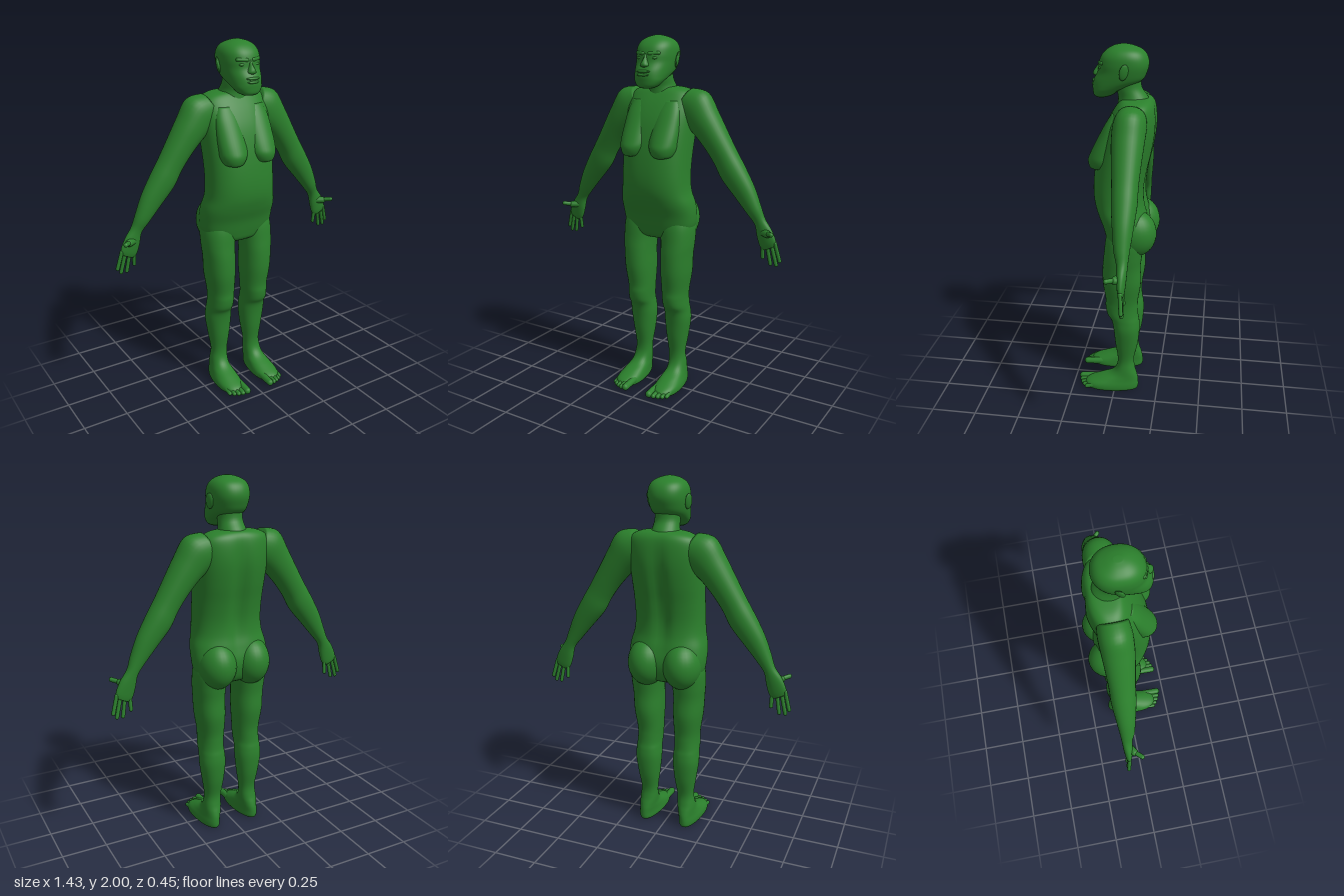
import * as THREE from 'three';

const skin = new THREE.MeshStandardMaterial({ color: 0x2b802c });
skin.name = 'green skin';

// Smooth interpolation between four neighbouring values
function spline(a, b, c, d, t) {
  return b + 0.5 * t * (c - a + t * (2 * a - 5 * b + 4 * c - d + t * (3 * (b - c) + d - a)));
}

// Body part from cross-sections, listed upwards: [y, x, halfWidth, zFront, zBack, tilt]
function loft(name, rows, { side = 1, power = 2, seg = 32, steps = 5, deform } = {}) {
  const rings = [];
  const at = (i, k) => rows[Math.min(rows.length - 1, Math.max(0, i))][k] ?? 0;
  for (let i = 0; i < rows.length - 1; i++) {
    for (let s = 0; s < steps; s++) {
      rings.push([0, 1, 2, 3, 4, 5].map(k =>
        spline(at(i - 1, k), at(i, k), at(i + 1, k), at(i + 2, k), s / steps)));
    }
  }
  rings.push([0, 1, 2, 3, 4, 5].map(k => at(rows.length - 1, k)));

  const pos = [], index = [], p = new THREE.Vector3();
  const bend = v => Math.sign(v) * Math.abs(v) ** (2 / power);
  const push = (y, x, z, ring) => {
    p.set(x, y, z);
    if (deform) deform(p, ring);
    pos.push(p.x * side, p.y, p.z);
  };
  for (const r of rings) {
    const [y, x, w, zf, zb, tilt] = r;
    for (let j = 0; j < seg; j++) {
      // mirrored parts run the angle the other way, so the winding stays outward
      const t = (j / seg) * Math.PI * 2;
      const u = w * bend(Math.cos(t)) * side;
      push(y + u * Math.sin(tilt), x + u * Math.cos(tilt),
        (zf + zb) / 2 + (zf - zb) / 2 * bend(Math.sin(t)), r);
    }
  }
  for (let i = 0; i < rings.length - 1; i++) {
    for (let j = 0; j < seg; j++) {
      const a = i * seg + j, b = i * seg + (j + 1) % seg;
      index.push(a, a + seg, b, b, a + seg, b + seg);
    }
  }
  // end caps
  const low = pos.length / 3, last = (rings.length - 1) * seg;
  for (const r of [rings[0], rings[rings.length - 1]]) push(r[0], r[1], (r[3] + r[4]) / 2, r);
  for (let j = 0; j < seg; j++) {
    const k = (j + 1) % seg;
    index.push(low, j, k, low + 1, last + k, last + j);
  }
  const geo = new THREE.BufferGeometry();
  geo.setAttribute('position', new THREE.Float32BufferAttribute(pos, 3));
  geo.setIndex(index);
  geo.computeVertexNormals();
  return named(name, geo);
}

function named(name, geo) {
  const mesh = new THREE.Mesh(geo, skin);
  mesh.name = name;
  return mesh;
}

// Rounded rod between two points
function rod(name, a, b, radius) {
  const from = new THREE.Vector3(...a), to = new THREE.Vector3(...b);
  const dir = to.clone().sub(from);
  const mesh = named(name, new THREE.CapsuleGeometry(radius, dir.length(), 5, 12));
  mesh.position.copy(from).add(to).multiplyScalar(0.5);
  mesh.quaternion.setFromUnitVectors(new THREE.Vector3(0, 1, 0), dir.normalize());
  return mesh;
}

function ellipsoid(name, center, radii) {
  const mesh = named(name, new THREE.SphereGeometry(1, 28, 20).scale(...radii));
  mesh.position.set(...center);
  return mesh;
}

export function createModel() {
  const model = new THREE.Group();
  model.name = 'standing figure';

  // Torso, with a groove along the spine
  model.add(loft('torso', [
    [0.895, 0, 0.1, 0.02, -0.12], [0.915, 0, 0.165, 0.045, -0.15], [0.96, 0, 0.208, 0.06, -0.17],
    [1.03, 0, 0.22, 0.078, -0.18], [1.1, 0, 0.217, 0.105, -0.17], [1.17, 0, 0.2, 0.125, -0.155],
    [1.25, 0, 0.194, 0.13, -0.153], [1.35, 0, 0.194, 0.122, -0.168], [1.45, 0, 0.197, 0.105, -0.19],
    [1.55, 0, 0.2, 0.078, -0.205], [1.63, 0, 0.2, 0.042, -0.205], [1.69, 0, 0.185, 0.005, -0.195],
    [1.72, 0, 0.14, -0.02, -0.175], [1.73, 0, 0.07, -0.04, -0.15],
  ], {
    power: 2.4, seg: 64,
    deform: (p, r) => {
      if (p.z < (r[3] + r[4]) / 2 && p.y > 1) {
        p.z += 0.025 * Math.exp(-((p.x / 0.04) ** 2)) * Math.sin(Math.PI * Math.min(1, (p.y - 1) / 0.73));
      }
    },
  }));

  // Neck and head
  model.add(loft('neck', [
    [1.67, 0, 0.1, 0.005, -0.185], [1.73, 0, 0.074, 0.0, -0.158],
    [1.78, 0, 0.067, 0.01, -0.124], [1.84, 0, 0.067, 0.0, -0.12],
  ]));
  model.add(loft('head', [
    [1.728, 0, 0.035, 0.115, 0.06], [1.74, 0, 0.058, 0.128, 0.025], [1.765, 0, 0.077, 0.132, -0.01],
    [1.79, 0, 0.087, 0.133, -0.07], [1.82, 0, 0.095, 0.127, -0.128], [1.86, 0, 0.102, 0.106, -0.15],
    [1.9, 0, 0.106, 0.1, -0.16], [1.94, 0, 0.102, 0.087, -0.152], [1.97, 0, 0.084, 0.06, -0.128],
    [1.99, 0, 0.05, 0.025, -0.085], [1.999, 0, 0.015, -0.01, -0.05],
  ], { power: 2.25, seg: 48 }));
  model.add(loft('nose', [
    [1.836, 0, 0.012, 0.122, 0.08], [1.844, 0, 0.025, 0.131, 0.08], [1.858, 0, 0.02, 0.13, 0.08],
    [1.88, 0, 0.011, 0.115, 0.07], [1.905, 0, 0.008, 0.1, 0.07],
  ], { seg: 16 }));
  model.add(ellipsoid('upperLip', [0, 1.815, 0.122], [0.04, 0.008, 0.013]));
  model.add(ellipsoid('lowerLip', [0, 1.797, 0.125], [0.036, 0.008, 0.012]));

  for (const side of [1, -1]) {
    const half = new THREE.Group();
    half.name = side > 0 ? 'leftSide' : 'rightSide';
    const m = ([x, y, z]) => [x * side, y, z];

    // Face details
    half.add(rod('brow', m([0.02, 1.905, 0.092]), m([0.062, 1.908, 0.073]), 0.011));
    half.add(ellipsoid('eye', m([0.042, 1.883, 0.083]), [0.019, 0.009, 0.014]));
    const ear = ellipsoid('ear', m([0.11, 1.873, -0.042]), [0.01, 0.042, 0.024]);
    ear.rotation.set(-0.15, 0.45 * side, -0.12 * side);
    half.add(ear);

    // Breast and buttock
    half.add(loft('breast', [
      [1.362, 0.095, 0.025, 0.125, 0.07], [1.373, 0.094, 0.055, 0.14, 0.03],
      [1.41, 0.091, 0.075, 0.148, 0], [1.45, 0.09, 0.079, 0.134, 0],
      [1.52, 0.09, 0.078, 0.1, -0.02], [1.6, 0.09, 0.07, 0.058, -0.03], [1.66, 0.09, 0.05, 0.02, -0.04],
    ], { side }));
    half.add(ellipsoid('buttock', m([0.103, 1.0, -0.1]), [0.107, 0.135, 0.125]));

    // Leg and foot; the heel is narrower than the ball of the foot
    half.add(loft('leg', [
      [0.002, 0.125, 0.06, 0.165, -0.13], [0.015, 0.125, 0.067, 0.18, -0.137],
      [0.04, 0.125, 0.066, 0.168, -0.138], [0.07, 0.122, 0.06, 0.1, -0.135],
      [0.1, 0.12, 0.053, 0.03, -0.127], [0.14, 0.117, 0.05, -0.005, -0.115],
      [0.2, 0.113, 0.048, -0.014, -0.109], [0.3, 0.113, 0.062, 0, -0.13],
      [0.4, 0.115, 0.074, 0.01, -0.14], [0.46, 0.115, 0.072, 0.022, -0.137],
      [0.5, 0.115, 0.07, 0.046, -0.13], [0.55, 0.113, 0.07, 0.056, -0.128],
      [0.6, 0.113, 0.073, 0.056, -0.13], [0.7, 0.118, 0.082, 0.07, -0.145],
      [0.8, 0.121, 0.085, 0.07, -0.142], [0.88, 0.122, 0.091, 0.062, -0.15],
      [0.97, 0.116, 0.096, 0.052, -0.16], [1.05, 0.11, 0.08, 0.03, -0.13],
    ], {
      side, power: 2.2,
      deform: (p, r) => {
        const low = 1 - THREE.MathUtils.smoothstep(p.y, 0.05, 0.13);
        const scale = THREE.MathUtils.mapLinear(p.z, -0.13, 0.15, 0.8, 1.2);
        p.x = r[1] + (p.x - r[1]) * (1 + low * (scale - 1));
      },
    }));
    [[0.08, 0.204, 0.02], [0.109, 0.202, 0.014], [0.133, 0.194, 0.013],
      [0.155, 0.182, 0.012], [0.175, 0.165, 0.012]].forEach(([x, z, r]) =>
      half.add(rod('toe', m([x, 0.032, 0.1]), m([x, r + 0.004, z]), r)));

    // Arm from palm to shoulder
    half.add(loft('arm', [
      [0.9, 0.648, 0.036, -0.093, -0.117, 0.45], [0.925, 0.637, 0.049, -0.085, -0.122, 0.45],
      [0.98, 0.615, 0.046, -0.077, -0.127, 0.5], [1.04, 0.588, 0.033, -0.073, -0.13, 0.55],
      [1.1, 0.555, 0.043, -0.055, -0.135, 0.58], [1.19, 0.5, 0.06, -0.04, -0.145, 0.58],
      [1.29, 0.43, 0.072, -0.025, -0.155, 0.58], [1.37, 0.383, 0.07, -0.02, -0.155, 0.58],
      [1.46, 0.325, 0.076, -0.01, -0.16, 0.62], [1.55, 0.26, 0.09, 0, -0.167, 0.72],
      [1.62, 0.2, 0.108, 0, -0.172, 0.88], [1.645, 0.14, 0.088, -0.01, -0.165, 1.1],
    ].map(r => [...r.slice(0, 5), r[5]]), { side, power: 2.1 }));

    // Fingers and thumb
    [[[0.678, 0.93], [0.704, 0.836]], [[0.66, 0.91], [0.685, 0.812]],
      [[0.636, 0.9], [0.652, 0.812]], [[0.608, 0.905], [0.607, 0.842]]].forEach(([a, b]) =>
      half.add(rod('finger', m([...a, -0.104]), m([...b, -0.112]), 0.0105)));
    half.add(rod('thumbBase', m([0.61, 0.985, -0.095]), m([0.645, 0.985, -0.073]), 0.02));
    half.add(rod('thumb', m([0.635, 0.985, -0.082]), m([0.68, 0.995, -0.036]), 0.0125));
    model.add(half);
  }
  return model;
}
